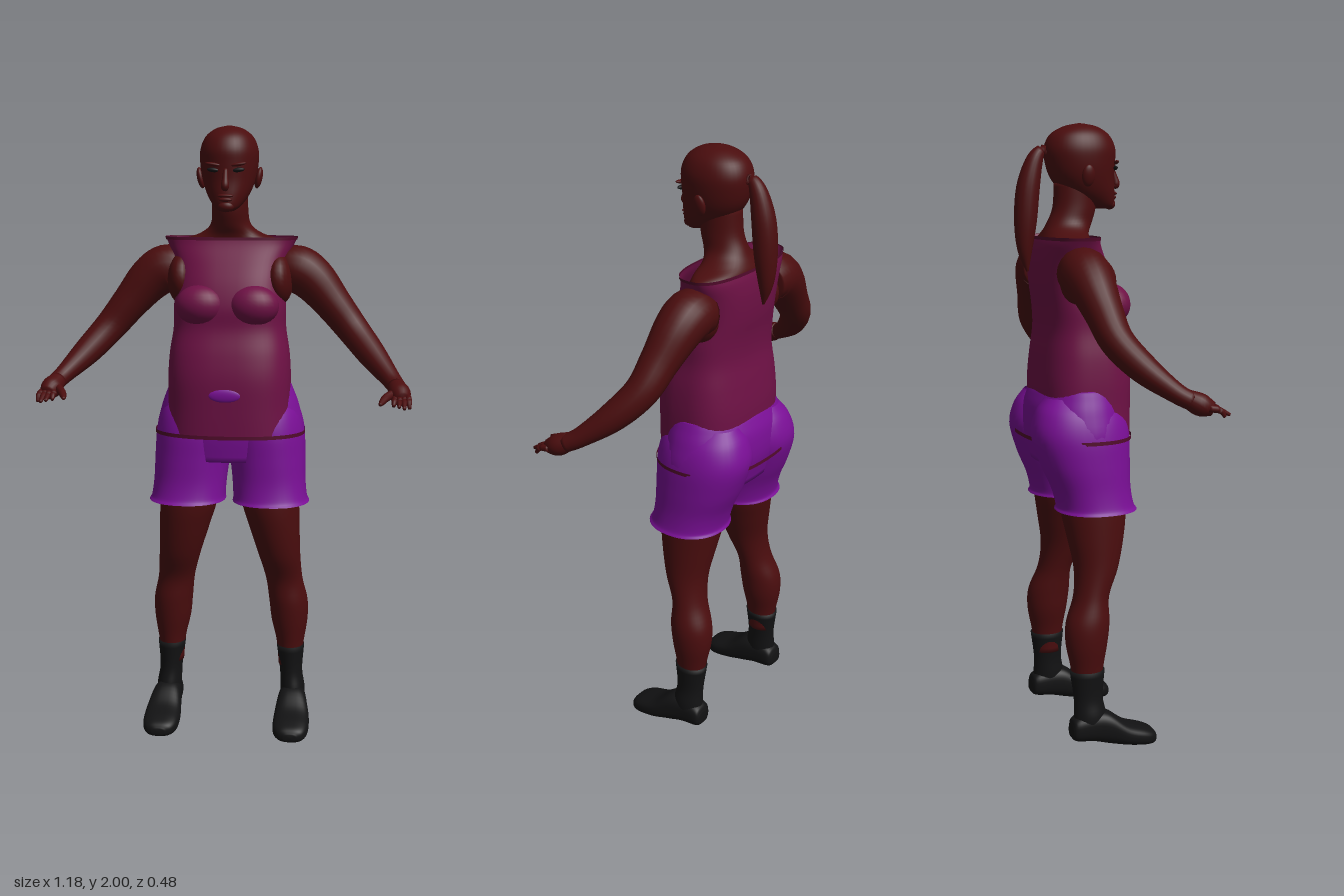
import * as THREE from 'three';

const mat = (name, color, side = THREE.FrontSide) => {
  const m = new THREE.MeshStandardMaterial({ color, side });
  m.name = name;
  return m;
};

// Skin a stack of closed rings, with both ends optionally capped.
function skinRings(rings, caps = true) {
  const n = rings[0].length, pos = [], idx = [];
  rings.forEach(r => r.forEach(p => pos.push(p.x, p.y, p.z)));
  for (let i = 0; i < rings.length - 1; i++) {
    for (let j = 0; j < n; j++) {
      const k = (j + 1) % n, a = i * n + j, b = i * n + k;
      idx.push(a, b, b + n, a, b + n, a + n);
    }
  }
  if (caps) {
    [0, rings.length - 1].forEach(e => {
      const c = new THREE.Vector3();
      rings[e].forEach(p => c.addScaledVector(p, 1 / n));
      const ci = pos.length / 3;
      pos.push(c.x, c.y, c.z);
      for (let j = 0; j < n; j++) {
        const a = e * n + j, b = e * n + (j + 1) % n;
        if (e === 0) idx.push(ci, b, a);
        else idx.push(ci, a, b);
      }
    });
  }
  const g = new THREE.BufferGeometry();
  g.setAttribute('position', new THREE.Float32BufferAttribute(pos, 3));
  g.setIndex(idx);
  g.computeVertexNormals();
  return g;
}

// Upright loft from sections [y, x0, x1, z0, z1]; power above 2 gives boxier rings.
function loft(sections, { side = 1, power = 2, caps = true, seg = 40, sub = 5 } = {}) {
  const a = new THREE.CatmullRomCurve3(sections.map(s => new THREE.Vector3(s[0], s[1], s[2])), false, 'catmullrom', 0.5);
  const b = new THREE.CatmullRomCurve3(sections.map(s => new THREE.Vector3(s[3], s[4], 0)), false, 'catmullrom', 0.5);
  const steps = (sections.length - 1) * sub, rings = [];
  const curve = v => Math.sign(v) * Math.pow(Math.abs(v), 2 / power);
  for (let i = 0; i <= steps; i++) {
    const p = a.getPoint(i / steps), q = b.getPoint(i / steps), ring = [];
    for (let j = 0; j < seg; j++) {
      const t = j / seg * Math.PI * 2;
      ring.push(new THREE.Vector3(
        side * (p.y + p.z) / 2 + (p.z - p.y) / 2 * curve(Math.cos(t)), p.x,
        (q.x + q.y) / 2 - (q.y - q.x) / 2 * curve(Math.sin(t))));
    }
    rings.push(ring);
  }
  return skinRings(rings, caps);
}

// Round limb through points [x, y, z, radius].
function limb(points, side = 1, seg = 20) {
  const c = new THREE.CatmullRomCurve3(points.map(p => new THREE.Vector3(side * p[0], p[1], p[2])), false, 'catmullrom', 0.5);
  const r = new THREE.CatmullRomCurve3(points.map((p, i) => new THREE.Vector3(i, p[3], 0)), false, 'catmullrom', 0.5);
  const steps = (points.length - 1) * 5, rings = [], cross = new THREE.Vector3(0, 0, 1);
  for (let i = 0; i <= steps; i++) {
    const t = i / steps, o = c.getPoint(t), d = c.getTangent(t), rad = r.getPoint(t).y;
    const ref = Math.abs(d.z) > 0.95 ? new THREE.Vector3(1, 0, 0) : cross;
    const n = ref.clone().addScaledVector(d, -ref.dot(d)).normalize(), b = d.clone().cross(n);
    rings.push(Array.from({ length: seg }, (_, j) => {
      const w = j / seg * Math.PI * 2;
      return o.clone().addScaledVector(n, rad * Math.cos(w)).addScaledVector(b, rad * Math.sin(w));
    }));
  }
  return skinRings(rings);
}

export function createModel() {
  const model = new THREE.Group();
  model.name = 'woman';
  const skin = mat('skin', 0x4a0d0e);
  const shirt = mat('shirt', 0x6e1145, THREE.DoubleSide);
  const hem = mat('shirtHem', 0x520b2c, THREE.DoubleSide);
  const shorts = mat('shorts', 0x7a0f96, THREE.DoubleSide);
  const black = mat('boots', 0x121213);
  const add = (name, geo, m) => {
    const mesh = new THREE.Mesh(geo, m);
    mesh.name = name;
    model.add(mesh);
    return mesh;
  };
  const ball = (name, m, p, s, rz = 0) => {
    const b = add(name, new THREE.SphereGeometry(1, 24, 16), m);
    b.position.set(...p);
    b.scale.set(...s);
    b.rotation.z = rz;
  };

  // Head, neck and shoulders
  add('head', loft([
    [1.735, -0.022, 0.022, 0.03, 0.078], [1.75, -0.042, 0.042, -0.02, 0.088],
    [1.785, -0.066, 0.066, -0.08, 0.088], [1.83, -0.083, 0.083, -0.12, 0.085],
    [1.88, -0.092, 0.092, -0.138, 0.088], [1.925, -0.092, 0.092, -0.141, 0.088],
    [1.965, -0.076, 0.076, -0.122, 0.068], [1.99, -0.045, 0.045, -0.08, 0.03],
    [2.0, -0.008, 0.008, -0.035, -0.015]], { power: 2.1 }), skin);
  add('neckAndShoulders', loft([
    [1.52, -0.16, 0.16, -0.16, 0.0], [1.6, -0.19, 0.19, -0.165, -0.005],
    [1.635, -0.175, 0.175, -0.16, -0.01], [1.66, -0.105, 0.105, -0.15, -0.005],
    [1.69, -0.066, 0.066, -0.135, 0.01], [1.74, -0.058, 0.058, -0.115, 0.025],
    [1.82, -0.058, 0.058, -0.11, 0.03]]), skin);
  add('nose', limb([[0, 1.865, 0.082, 0.007], [0, 1.835, 0.092, 0.01], [0, 1.812, 0.097, 0.013], [0, 1.803, 0.088, 0.008]]), skin);
  ball('upperLip', skin, [0, 1.783, 0.088], [0.025, 0.006, 0.009]);
  ball('lowerLip', skin, [0, 1.771, 0.087], [0.021, 0.007, 0.009]);
  ball('chin', skin, [0, 1.75, 0.075], [0.026, 0.018, 0.018]);

  // Ponytail and its tie
  add('ponytail', limb([
    [0, 1.91, -0.13, 0.014], [0, 1.915, -0.155, 0.018], [0, 1.88, -0.178, 0.028],
    [0, 1.8, -0.198, 0.037], [0, 1.7, -0.207, 0.036], [0, 1.61, -0.21, 0.024],
    [0, 1.54, -0.202, 0.004]]), skin);

  // Tank top with belly, open at neck and hem
  add('tankTop', loft([
    [1.015, -0.208, 0.208, -0.2, 0.115], [1.1, -0.2, 0.2, -0.185, 0.117],
    [1.2, -0.2, 0.2, -0.183, 0.117], [1.28, -0.195, 0.195, -0.175, 0.105],
    [1.36, -0.183, 0.183, -0.165, 0.085], [1.43, -0.182, 0.182, -0.168, 0.083],
    [1.5, -0.175, 0.175, -0.178, 0.065], [1.57, -0.182, 0.182, -0.182, 0.035],
    [1.62, -0.202, 0.202, -0.178, 0.01], [1.648, -0.215, 0.215, -0.17, 0.0]],
  { power: 2.7, caps: false, seg: 56 }), shirt);
  add('neckHem', loft([[1.641, -0.214, 0.214, -0.173, 0.005], [1.651, -0.217, 0.217, -0.173, 0.004]],
    { power: 2.7, caps: false, sub: 1 }), hem);
  add('bottomHem', loft([[1.012, -0.248, 0.248, -0.228, 0.119], [1.024, -0.248, 0.248, -0.228, 0.119]],
    { power: 2.4, caps: false, sub: 1, seg: 56 }), hem);

  // Shorts: hips, and the waistband showing at the belly
  add('hips', loft([
    [0.93, -0.225, 0.225, -0.18, 0.08], [1.02, -0.244, 0.244, -0.205, 0.09],
    [1.1, -0.228, 0.228, -0.205, 0.085], [1.15, -0.21, 0.21, -0.189, 0.075],
    [1.175, -0.2, 0.2, -0.175, 0.06]], { power: 2.2 }), shorts);
  ball('waistPatch', shorts, [0, 1.155, 0.115], [0.052, 0.022, 0.008]);

  for (const s of [1, -1]) {
    const side = s > 0 ? 'left' : 'right';

    // Face details
    ball(side + 'Eye', black, [s * 0.038, 1.862, 0.078], [0.021, 0.007, 0.008], s * 0.1);
    ball(side + 'Brow', skin, [s * 0.038, 1.879, 0.08], [0.027, 0.006, 0.009], s * 0.15);
    ball(side + 'Ear', skin, [s * 0.093, 1.838, -0.03], [0.012, 0.034, 0.021], -s * 0.2);

    // Bust and bare skin in the armhole
    ball(side + 'Bust', shirt, [s * 0.085, 1.437, 0.045], [0.082, 0.066, 0.063]);
    ball(side + 'Armhole', skin, [s * 0.158, 1.515, -0.055], [0.048, 0.085, 0.092]);

    // Arm, palm and fingers
    add(side + 'Arm', limb([
      [0.16, 1.54, -0.09, 0.07], [0.215, 1.545, -0.088, 0.078], [0.27, 1.51, -0.083, 0.073],
      [0.335, 1.435, -0.07, 0.06], [0.4, 1.355, -0.052, 0.052], [0.465, 1.28, 0.005, 0.045],
      [0.525, 1.215, 0.08, 0.031], [0.55, 1.188, 0.125, 0.028]], s), skin);
    add(side + 'Palm', limb([[0.54, 1.198, 0.11, 0.027], [0.554, 1.178, 0.15, 0.034], [0.56, 1.165, 0.185, 0.022]], s), skin);
    [[0.535, 1.15, 0.218], [0.552, 1.15, 0.235], [0.568, 1.146, 0.238], [0.584, 1.143, 0.215]].forEach((t, i) => {
      const x0 = 0.54 + i * 0.013;
      add(side + 'Finger' + (i + 1), limb([
        [x0, 1.17, 0.165, 0.011], [(x0 + t[0]) / 2, 1.163, 0.2, 0.01], [...t, 0.005]], s, 10), skin);
    });
    add(side + 'Thumb', limb([[0.54, 1.182, 0.145, 0.014], [0.513, 1.172, 0.185, 0.013],
      [0.5, 1.162, 0.215, 0.01], [0.494, 1.157, 0.236, 0.005]], s, 10), skin);

    // Shorts leg with buttock and flared cuff
    add(side + 'ShortsLeg', loft([
      [0.788, 0.012, 0.266, -0.155, 0.108], [0.805, 0.014, 0.258, -0.15, 0.098],
      [0.86, 0.01, 0.252, -0.165, 0.09], [0.94, 0.0, 0.25, -0.2, 0.09],
      [1.03, -0.01, 0.244, -0.226, 0.09], [1.1, 0.0, 0.222, -0.212, 0.07],
      [1.15, 0.03, 0.18, -0.18, 0.02]], { side: s, power: 2.2, caps: false }), shorts);

    // Leg
    add(side + 'Leg', loft([
      [0.2, 0.165, 0.24, -0.12, -0.03], [0.28, 0.158, 0.25, -0.13, -0.022],
      [0.36, 0.14, 0.262, -0.145, -0.008], [0.43, 0.132, 0.262, -0.142, 0.0],
      [0.51, 0.122, 0.245, -0.112, 0.003], [0.6, 0.098, 0.238, -0.105, 0.04],
      [0.7, 0.066, 0.235, -0.122, 0.065], [0.79, 0.04, 0.232, -0.138, 0.076],
      [0.92, 0.03, 0.225, -0.15, 0.07]], { side: s }), skin);

    // Boot shaft and shoe
    add(side + 'BootShaft', loft([
      [0.07, 0.175, 0.255, -0.125, -0.01], [0.12, 0.172, 0.255, -0.122, -0.015],
      [0.18, 0.17, 0.246, -0.122, -0.025], [0.27, 0.158, 0.252, -0.134, -0.018]], { side: s }), black);
    const shoe = loft([
      [-0.135, 0.192, 0.24, -0.09, -0.05], [-0.12, 0.175, 0.252, -0.115, -0.038],
      [-0.06, 0.17, 0.258, -0.13, -0.03], [-0.01, 0.165, 0.267, -0.125, -0.018],
      [0.05, 0.159, 0.278, -0.083, -0.008], [0.11, 0.16, 0.277, -0.062, -0.001],
      [0.142, 0.175, 0.264, -0.048, -0.002], [0.155, 0.2, 0.24, -0.032, -0.01]], { side: s, power: 2.7 });
    add(side + 'Shoe', shoe.rotateX(Math.PI / 2), black);
  }
  return model;
}
